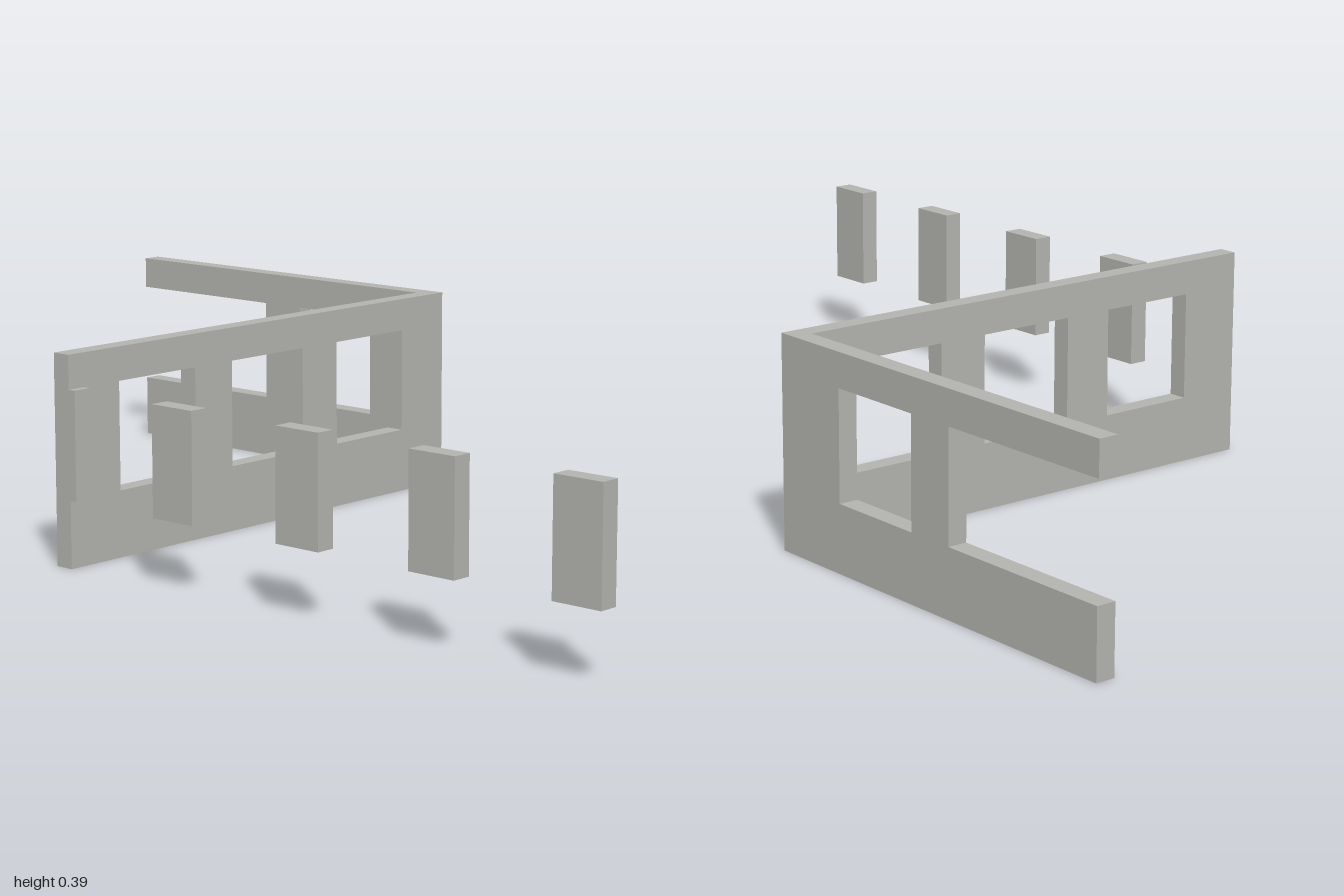
import * as THREE from 'three';

const T = 0.037;                 // wall thickness
const H = 0.39;                  // wall height
const SILL = 0.125, HEAD = 0.327; // window bottom and top
const X = 0.515;                 // half width of the front wall
const FRONT = -0.183;            // front face of the front wall

const concrete = new THREE.MeshStandardMaterial({ color: 0xb2b2ae });
concrete.name = 'concrete';

const polygon = (points, Type) => new Type(points.map(([x, y]) => new THREE.Vector2(x, y)));

// Flat wall panel with rectangular windows, extruded to the wall thickness
function wall(name, outline, windows) {
  const shape = polygon(outline, THREE.Shape);
  for (const [a, b] of windows) {
    shape.holes.push(polygon([[a, SILL], [a, HEAD], [b, HEAD], [b, SILL]], THREE.Path));
  }
  const geometry = new THREE.ExtrudeGeometry(shape, { depth: T, bevelEnabled: false });
  const mesh = new THREE.Mesh(geometry, concrete);
  mesh.name = name;
  return mesh;
}

// Pier between windows along the open side
function pier(name, z0, z1) {
  const mesh = new THREE.Mesh(new THREE.BoxGeometry(T, HEAD - SILL, z1 - z0), concrete);
  mesh.position.set(-X + T / 2, (SILL + HEAD) / 2, (z0 + z1) / 2);
  mesh.name = name;
  return mesh;
}

export function createModel() {
  const model = new THREE.Group();
  model.name = 'windowWalls';

  // Front wall with three windows
  const front = wall('frontWall', [[-X, 0], [X, 0], [X, H], [-X, H]],
    [[-0.391, -0.196], [-0.098, 0.098], [0.196, 0.391]]);
  front.position.z = FRONT - T;
  model.add(front);

  // Left wall running back: one window, then an opening that reaches the end
  const start = T - FRONT;
  const side = wall('leftWall',
    [[start, 0], [1, 0], [1, SILL], [0.638, SILL], [0.638, HEAD], [1, HEAD], [1, H], [start, H]],
    [[0.345, 0.541]]);
  side.rotation.y = Math.PI / 2;
  side.position.x = X - T;
  model.add(side);

  // Evenly spaced piers on the open right side; the last one meets the front wall
  for (let i = 0; i < 4; i++) {
    const z1 = 1 - i * 0.2925;
    model.add(pier('pier' + (i + 1), z1 - 0.096, z1));
  }
  model.add(pier('wallPier', FRONT - 0.01, -0.168));

  return model;
}
